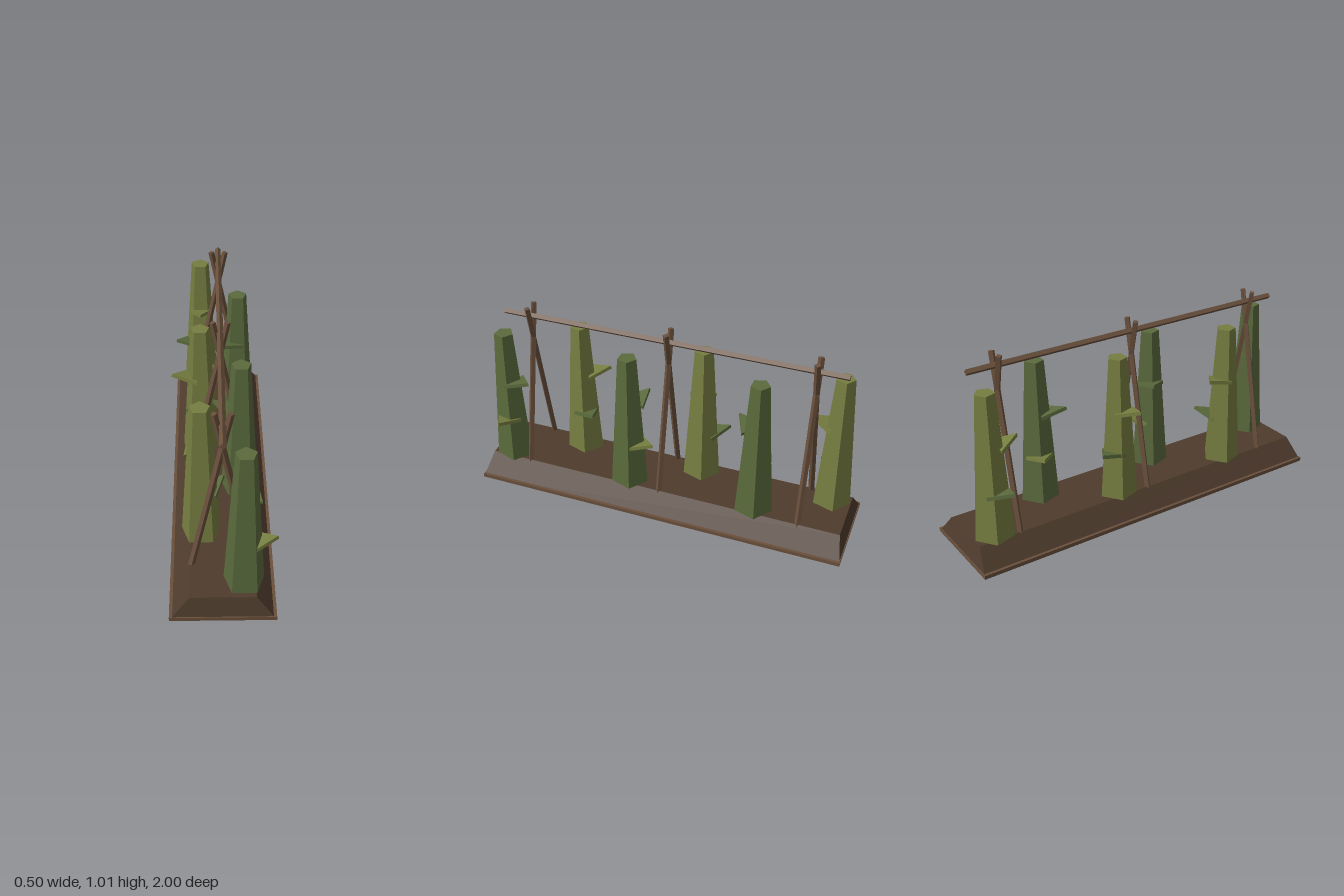
import * as THREE from 'three';

const mat = (name, color) => {
  const m = new THREE.MeshStandardMaterial({ color, flatShading: true });
  m.name = name;
  return m;
};

export function createModel() {
  const soil = mat('soil brown', 0x4e3b2d);
  const wood = mat('wood brown', 0x6a503c);
  const dark = mat('dark green', 0x5a6a3c);
  const light = mat('light green', 0x767e40);

  const root = new THREE.Group();
  root.name = 'beanTrellis';
  const add = (name, geo, material, x, y, z, parent = root) => {
    const m = new THREE.Mesh(geo, material);
    m.name = name;
    m.position.set(x, y, z);
    parent.add(m);
    return m;
  };

  // Planting bed: thin wooden rim with a soil underside, and a tapered mound
  add('bedRim', new THREE.BoxGeometry(0.5, 0.02, 2), [wood, wood, wood, soil, wood, wood], 0, 0.015, 0);
  const mound = new THREE.BoxGeometry(0.5, 0.119, 2);
  const p = mound.attributes.position;
  for (let i = 0; i < p.count; i++) {
    if (p.getY(i) > 0) {
      p.setX(i, p.getX(i) * 0.62);
      p.setZ(i, p.getZ(i) * 0.97);
    }
  }
  mound.computeVertexNormals();
  add('soilMound', mound, soil, 0, 0.0655, 0);

  // Three pairs of crossed poles and the ridge pole resting in them
  const poleGeo = new THREE.CylinderGeometry(0.016, 0.016, 1.02, 4);
  for (const z of [-0.75, 0, 0.75]) {
    for (const s of [-1, 1]) {
      add('crossedPole', poleGeo, wood, -0.0665 * s, 0.504, z).rotation.z = -0.205 * s;
    }
  }
  const ridge = new THREE.CylinderGeometry(0.016, 0.016, 1.8, 4);
  add('ridgePole', ridge, wood, 0, 0.945, 0).rotation.x = Math.PI / 2;

  // Plants: tapered five-sided columns, each with two tilted triangular leaves
  const stemGeo = new THREE.CylinderGeometry(0.05, 0.1, 0.75, 5).rotateY(Math.PI);
  const leafGeo = new THREE.CylinderGeometry(0.08, 0.08, 0.018, 3);
  const addLeaf = (plant, material, y, [dx, dz]) => {
    const a = Math.atan2(dx, dz);
    const leaf = add('leaf', leafGeo, material, Math.sin(a) * 0.075, y, Math.cos(a) * 0.075, plant);
    leaf.rotation.set(-0.25, a, 0, 'YXZ');
  };
  // z position, then the directions (x, z) of the upper and lower leaf
  const plants = [
    [0.862, [0.05, -0.14], [0.15, 0]],
    [0.527, [-0.06, -0.145], [0.115, -0.1]],
    [0.18, [-0.13, -0.06], [0.04, -0.145]],
    [-0.153, [-0.15, 0.04], [-0.07, -0.13]],
    [-0.502, [-0.09, 0.12], [-0.14, -0.04]],
    [-0.865, [0, 0.15], [-0.14, 0.05]],
  ];
  plants.forEach(([z, upper, lower], i) => {
    const right = i % 2 === 1;
    const plant = new THREE.Group();
    plant.name = 'plant';
    plant.position.set(right ? -0.1 : 0.1, 0, z);
    root.add(plant);
    const [main, other] = right ? [light, dark] : [dark, light];
    add('foliageColumn', stemGeo, main, 0, 0.5, 0, plant);
    addLeaf(plant, main, 0.6, upper);
    addLeaf(plant, other, 0.376, lower);
  });

  return root;
}
